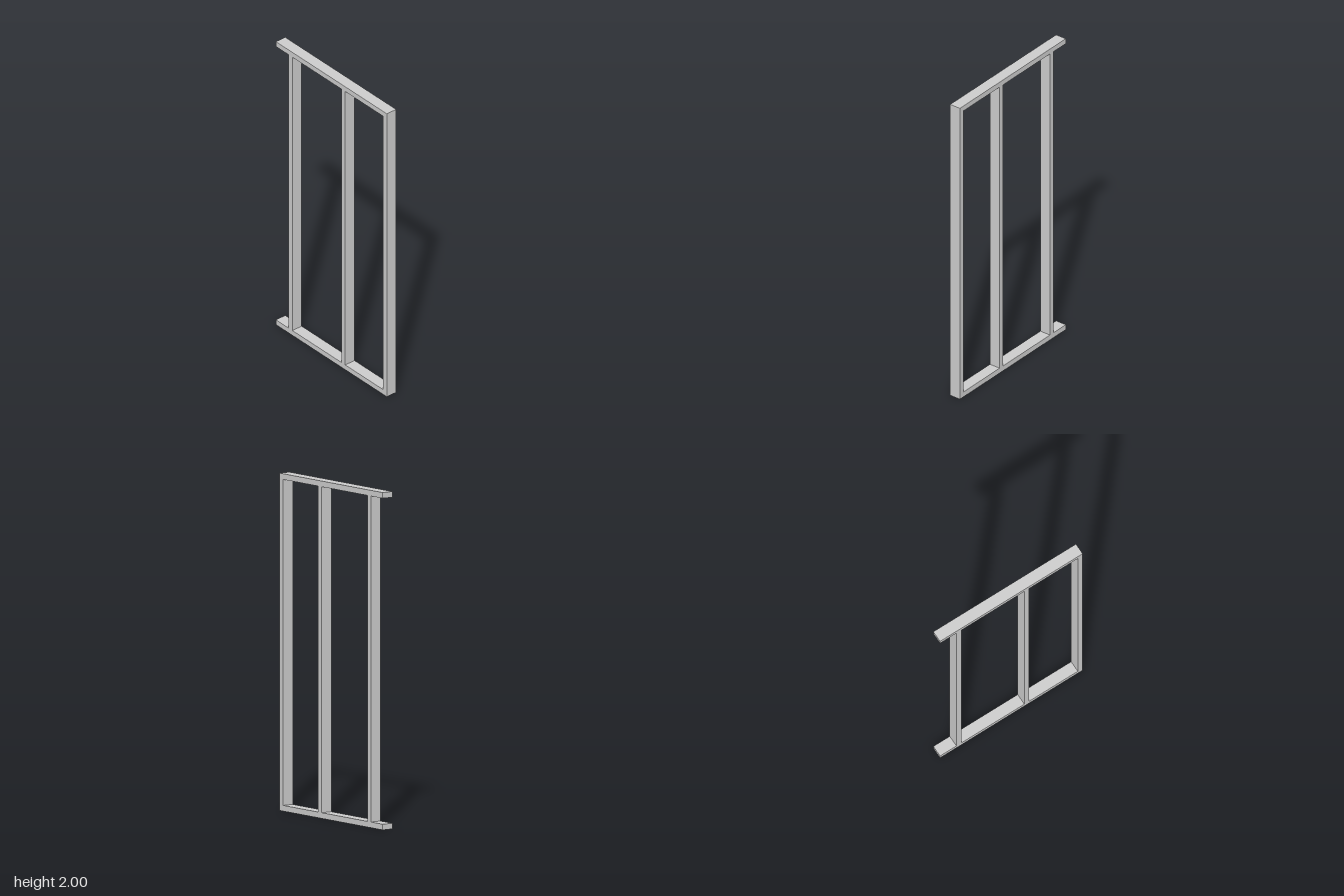
import * as THREE from 'three';

export function createModel() {
  const group = new THREE.Group();
  const material = new THREE.MeshStandardMaterial({ color: 0xcccccc, flatShading: true });
  const height = 2, width = 1, depth = 0.072, thickness = 0.034;

  function addBeam(name, w, h, x, y) {
    const beam = new THREE.Mesh(new THREE.BoxGeometry(w, h, depth), material);
    beam.name = name;
    beam.position.set(x, y, 0);
    group.add(beam);
  }

  // Horizontal plates at floor and ceiling
  addBeam('bottomPlate', width, thickness, 0, thickness / 2);
  addBeam('topPlate', width, thickness, 0, height - thickness / 2);

  // Upright studs between the plates; the end stud is flush with the plate ends
  const studs = { rightStud: -0.368, middleStud: 0.108, endStud: (width - thickness) / 2 };
  for (const [name, x] of Object.entries(studs)) {
    addBeam(name, thickness, height - 2 * thickness, x, height / 2);
  }

  return group;
}
